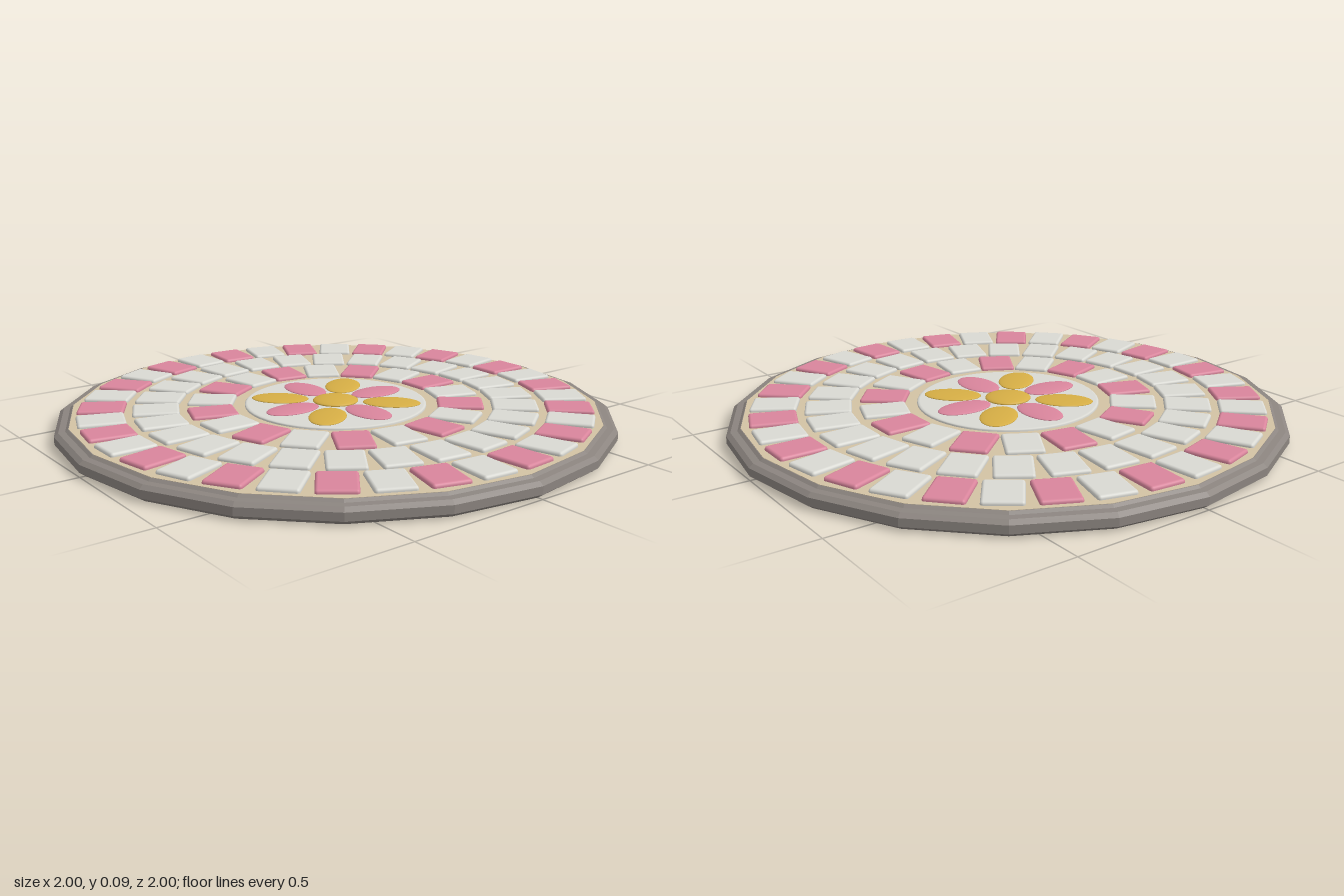
import * as THREE from 'three';
import { RoundedBoxGeometry } from 'three/addons/geometries/RoundedBoxGeometry.js';

function material(name, color, flatShading = false) {
  const m = new THREE.MeshStandardMaterial({ color, flatShading });
  m.name = name;
  return m;
}

export function createModel() {
  const stone = material('grey stone', 0x8c8580, true);
  const grout = material('sand grout', 0xd2c2a4, true);
  const white = material('white tile', 0xd9d9d3);
  const pink = material('pink tile', 0xd9859c);
  const gold = material('gold glass', 0xd6ae45);

  const model = new THREE.Group();
  model.name = 'mosaicDisc';

  function add(parent, name, geometry, mat) {
    const mesh = new THREE.Mesh(geometry, mat);
    mesh.name = name;
    parent.add(mesh);
    return mesh;
  }
  const lathe = (points, sides) =>
    new THREE.LatheGeometry(points.map(([r, y]) => new THREE.Vector2(r, y)), sides);

  // Twenty-sided stone base with bevelled rim
  add(model, 'base', lathe([
    [0, 0], [0.98, 0], [1, 0.015], [1, 0.042], [0.985, 0.054], [0.962, 0.056], [0.952, 0.064], [0.945, 0.064],
  ], 20), stone);

  // Grout bed
  add(model, 'groutBed', lathe([[0.95, 0.05], [0.95, 0.065], [0, 0.065]], 20), grout);

  // Three rings of tiles; alternate tiles are pink in the outer and inner rings
  const tileGeometry = new RoundedBoxGeometry(0.165, 0.03, 0.13, 2, 0.01);
  const rings = [
    { name: 'outerRing', radius: 0.838, count: 34, alternate: true },
    { name: 'middleRing', radius: 0.646, count: 26, alternate: false },
    { name: 'innerRing', radius: 0.452, count: 18, alternate: true },
  ];
  for (const { name, radius, count, alternate } of rings) {
    const ring = new THREE.Group();
    ring.name = name;
    model.add(ring);
    for (let i = 0; i < count; i++) {
      const a = (i / count) * Math.PI * 2;
      const tile = add(ring, 'tile', tileGeometry, alternate && i % 2 === 0 ? pink : white);
      tile.position.set(Math.cos(a) * radius, 0.063, -Math.sin(a) * radius);
      tile.rotation.y = a;
    }
  }

  // Central white medallion with a softened edge
  add(model, 'medallion', lathe([
    [0.33, 0.055], [0.33, 0.069], [0.327, 0.072], [0.32, 0.074], [0, 0.074],
  ], 48), white);

  // Flower of eight domed petals around a round centre
  const flower = new THREE.Group();
  flower.name = 'flower';
  model.add(flower);
  const dome = new THREE.SphereGeometry(1, 24, 16);
  for (let i = 0; i < 8; i++) {
    const a = (i * Math.PI) / 4;
    const isGold = i % 2 === 1;
    const radius = isGold ? 0.205 : 0.19;
    const petal = add(flower, isGold ? 'goldPetal' : 'pinkPetal', dome, isGold ? gold : pink);
    petal.scale.set(0.105, 0.009, isGold ? 0.066 : 0.063);
    petal.position.set(Math.cos(a) * radius, 0.075, -Math.sin(a) * radius);
    petal.rotation.y = a;
  }
  const centre = add(flower, 'flowerCentre', dome, gold);
  centre.scale.set(0.083, 0.014, 0.083);
  centre.position.y = 0.076;

  return model;
}
